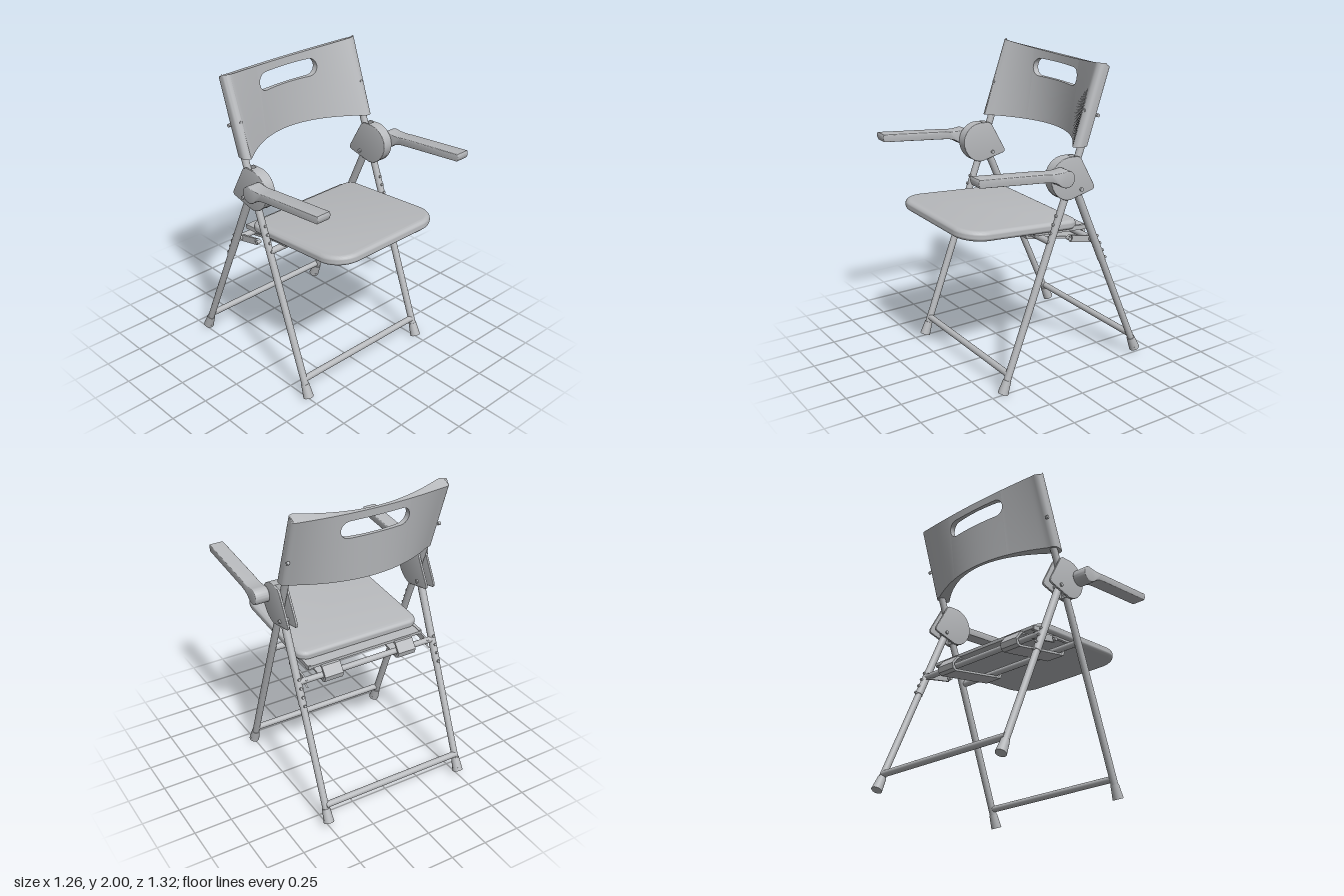
import * as THREE from 'three';
import { toCreasedNormals } from 'three/addons/utils/BufferGeometryUtils.js';

const V = (x, y, z) => new THREE.Vector3(x, y, z);

export function createModel() {
  const chair = new THREE.Group();
  chair.name = 'foldingChair';
  const grey = new THREE.MeshStandardMaterial({ color: 0xb8babd });
  grey.name = 'light grey';

  const add = (name, geometry) => {
    const mesh = new THREE.Mesh(geometry, grey);
    mesh.name = name;
    chair.add(mesh);
    return mesh;
  };

  // round bar between two points, r0 at the start and r1 at the end
  const rod = (name, a, b, r0, r1 = r0, sides = 20) => {
    const mesh = add(name, new THREE.CylinderGeometry(r1, r0, a.distanceTo(b), sides));
    mesh.position.copy(a).add(b).multiplyScalar(0.5);
    mesh.quaternion.setFromUnitVectors(V(0, 1, 0), b.clone().sub(a).normalize());
    return mesh;
  };

  // side profile in (z, y), extruded across x around a centre
  const plate = (name, shape, x, width, bevel = 0) => {
    const g = new THREE.ExtrudeGeometry(shape, {
      depth: width - 2 * bevel, bevelEnabled: bevel > 0, bevelSize: bevel,
      bevelThickness: bevel, bevelOffset: -bevel, bevelSegments: 3, curveSegments: 12,
    });
    g.translate(0, 0, bevel - width / 2).rotateY(-Math.PI / 2).translate(x, 0, 0);
    return add(name, toCreasedNormals(g, 0.6));
  };
  const poly = (pts) => new THREE.Shape(pts.map(([z, y]) => new THREE.Vector2(z, y)));

  // leg centre lines as functions of height
  const front = (y, x) => V(x, y, 0.425 - 0.377 * (y - 0.012));
  const rear = (y, x) => V(x, y, -0.625 + 0.431 * (y - 0.035));

  // rounded hinge outline and its solid front part
  const hinge = new THREE.Shape();
  hinge.moveTo(-0.09, 1.46);
  hinge.quadraticCurveTo(-0.115, 1.455, -0.13, 1.42);
  hinge.lineTo(-0.21, 1.275);
  hinge.quadraticCurveTo(-0.23, 1.24, -0.205, 1.232);
  hinge.lineTo(-0.04, 1.195);
  hinge.bezierCurveTo(0.04, 1.195, 0.1, 1.27, 0.102, 1.34);
  hinge.bezierCurveTo(0.1, 1.42, 0.04, 1.46, -0.02, 1.463);
  const hingeCore = new THREE.Shape();
  hingeCore.moveTo(-0.05, 1.463);
  hingeCore.lineTo(-0.05, 1.2);
  hingeCore.bezierCurveTo(0.04, 1.195, 0.1, 1.27, 0.102, 1.34);
  hingeCore.bezierCurveTo(0.1, 1.42, 0.04, 1.46, -0.02, 1.463);

  // armrest profile with a rounded pivot end
  const arm = new THREE.Shape();
  arm.moveTo(0.65, 1.415);
  arm.quadraticCurveTo(0.668, 1.44, 0.655, 1.465);
  arm.lineTo(0.2, 1.42);
  arm.quadraticCurveTo(0.12, 1.405, 0.055, 1.416);
  arm.absarc(0.052, 1.364, 0.052, Math.PI / 2, Math.PI * 1.5, false);
  arm.quadraticCurveTo(0.085, 1.313, 0.11, 1.338);
  arm.quadraticCurveTo(0.14, 1.362, 0.2, 1.369);

  for (const s of [-1, 1]) {
    const x = 0.5 * s;
    // legs, sleeves and feet
    rod('frontLeg', front(0.05, x), front(1.7, x), 0.023);
    rod('rearLeg', rear(0.06, x), rear(1.25, x), 0.022);
    rod('rearLegSleeve', rear(0.74, x), rear(1.22, x), 0.025);
    for (const [name, line, y] of [['frontFoot', front, 0.012], ['rearFoot', rear, 0.035]]) {
      rod(name, line(y, x), line(y + 0.022, x), 0.034, 0.032);
      rod(name + 'Collar', line(y + 0.02, x), line(y + 0.085, x), 0.032, 0.026);
    }
    // adjustment buttons up the legs
    for (let i = 0; i < 4; i++) {
      const f = front(0.935 + i * 0.052, x), r = rear(0.74 + i * 0.052, x);
      rod('frontButton', f, f.clone().add(V(0, 0.011, 0.029)), 0.011, 0.009, 12);
      rod('rearButton', r, r.clone().add(V(0, 0.013, -0.032)), 0.011, 0.009, 12);
    }
    // hinge housing, open at the back
    plate('hingeOuterPlate', hinge, 0.528 * s, 0.014, 0.003);
    plate('hingeInnerPlate', hinge, 0.472 * s, 0.014, 0.003);
    plate('hingeCore', hingeCore, x, 0.056);
    rod('hingeRivet', V(0.455 * s, 1.25, -0.12), V(0.545 * s, 1.25, -0.12), 0.012);
    // armrest
    plate('armrest', arm, 0.584 * s, 0.096, 0.005);
    // backrest screws
    rod('backrestSideScrew', V(0.52 * s, 1.69, -0.235), V(0.537 * s, 1.69, -0.235), 0.011);
    rod('backrestFrontScrew', V(x, 1.72, -0.2), V(x, 1.724, -0.153), 0.011);
    // folding link beside the seat
    const link = new THREE.Shape();
    link.absarc(-0.095, 0.913, 0.024, -1.8, 1.34, true);
    link.absarc(-0.295, 0.868, 0.024, 1.34, -1.8, true);
    plate('seatLink', link, 0.452 * s, 0.012);
    rod('linkPin', V(0.435 * s, 0.913, -0.095), V(0.466 * s, 0.913, -0.095), 0.012);
    // hooked bracket under the seat: a folded sheet around both bars
    plate('seatBracket', poly([
      [0.15, 0.985], [0.155, 0.965], [0.14, 0.92], [-0.28, 0.838], [-0.305, 0.85], [-0.315, 0.885],
      [-0.27, 0.945], [-0.2, 0.955], [-0.2, 0.94], [-0.262, 0.93], [-0.298, 0.882], [-0.278, 0.853],
      [0.125, 0.933], [0.138, 0.985],
    ]), 0.27 * s, 0.13);
    // side rail of the seat frame
    plate('seatFrameRail', poly([[0.14, 0.995], [0.14, 0.965], [-0.25, 0.935], [-0.25, 0.965]]),
      0.412 * s, 0.02);
  }

  // cross bars
  const bar = (name, y, z, half, r) => rod(name, V(-half, y, z), V(half, y, z), r);
  bar('frontFootBar', 0.13, 0.383, 0.5, 0.021);
  bar('rearFootBar', 0.143, -0.585, 0.5, 0.021);
  bar('frontSeatBar', 0.94, 0.083, 0.5, 0.021);
  bar('rearSeatBar', 0.88, -0.265, 0.5, 0.02);
  const tail = add('seatFrameTail', new THREE.BoxGeometry(0.84, 0.02, 0.1));
  tail.position.set(0, 0.955, -0.205);
  tail.rotation.x = -0.08;

  // cushion-edged seat, larger corners at the front
  const b = 0.03, w = 0.445 - b, l = 0.412 - b, rf = 0.14, rr = 0.045;
  const seat = new THREE.Shape();
  seat.moveTo(-w + rf, -l);
  seat.lineTo(w - rf, -l);
  seat.absarc(w - rf, -l + rf, rf, -Math.PI / 2, 0, false);
  seat.absarc(w - rr, l - rr, rr, 0, Math.PI / 2, false);
  seat.absarc(-w + rr, l - rr, rr, Math.PI / 2, Math.PI, false);
  seat.absarc(-w + rf, -l + rf, rf, Math.PI, Math.PI * 1.5, false);
  const seatGeo = new THREE.ExtrudeGeometry(seat, {
    depth: 0.004, bevelSize: b, bevelThickness: b, bevelSegments: 6, curveSegments: 14,
  });
  seatGeo.translate(0, 0, -0.002).rotateX(-Math.PI / 2);
  const seatMesh = add('seat', toCreasedNormals(seatGeo, 0.6));
  seatMesh.position.set(0, 1.016, 0.222);
  seatMesh.rotation.x = -0.079;

  // curved backrest: front and back depth at a given x and y
  const depth = (x, y, isFront) => {
    const u2 = Math.min(1, Math.abs(x) / 0.49) ** 2, t = (y - 1.51) / 0.49;
    const mix = (lo, hi) => lo + (hi - lo) * t;
    const f = mix(-0.295 + 0.217 * u2, -0.335 + 0.083 * u2);
    const k = mix(-0.317 + 0.142 * u2, -0.36 + 0.022 * u2);
    const e = Math.max(0, (Math.abs(x) - 0.495) / 0.04);
    const round = 0.3 + 0.7 * Math.sqrt(Math.max(0, 1 - e * e));
    return (f + k) / 2 + (isFront ? 0.5 : -0.5) * (f - k) * round;
  };
  // four-cornered section swept along x
  const panel = (name, xs, low, high, capStart, capEnd) => {
    const pos = [], idx = [];
    for (const x of xs) {
      const y0 = low(x), y1 = high(x, true), y2 = high(x, false);
      pos.push(x, y0, depth(x, y0, true), x, y1, depth(x, y1, true),
        x, y2, depth(x, y2, false), x, y0, depth(x, y0, false));
    }
    for (let i = 0; i < xs.length - 1; i++) {
      for (let j = 0; j < 4; j++) {
        const a = i * 4 + j, c = i * 4 + (j + 1) % 4;
        idx.push(a, a + 4, c, c, a + 4, c + 4);
      }
    }
    const n = (xs.length - 1) * 4;
    if (capStart) idx.push(0, 1, 2, 0, 2, 3);
    if (capEnd) idx.push(n, n + 2, n + 1, n, n + 3, n + 2);
    const g = new THREE.BufferGeometry();
    g.setAttribute('position', new THREE.Float32BufferAttribute(pos, 3));
    g.setIndex(idx);
    add(name, toCreasedNormals(g, 0.6));
  };
  const bottom = () => 1.51;
  const top = (x, isFront) => 1.965 + (isFront ? 0.035 : 0.008) * Math.min(1, Math.abs(x) / 0.5) ** 2;
  // handle slot with round ends
  const hx = 0.235, hr = 0.057, hy = 1.858;
  const slot = (x) => {
    const d = Math.max(0, Math.abs(x) - (hx - hr));
    return Math.sqrt(Math.max(0, hr * hr - d * d));
  };
  const mid = [], side = [];
  for (let i = 0; i <= 8; i++) mid.push(-hx + hr * (1 - Math.cos(i * Math.PI / 16)));
  for (let i = 1; i < 16; i++) mid.push((hx - hr) * (i / 8 - 1));
  for (let i = 0; i <= 8; i++) mid.push(hx - hr + hr * Math.sin(i * Math.PI / 16));
  for (let i = 0; i <= 12; i++) side.push(hx + (0.495 - hx) * i / 12);
  for (let i = 1; i <= 6; i++) side.push(0.495 + 0.04 * Math.sin(i * Math.PI / 12));
  panel('backrestRight', side.map((x) => -x).reverse(), bottom, top, true, false);
  panel('backrestLeft', side, bottom, top, false, true);
  panel('backrestLower', mid, bottom, (x) => hy - slot(x), false, false);
  panel('backrestUpper', mid, (x) => hy + slot(x), top, false, false);

  return chair;
}
